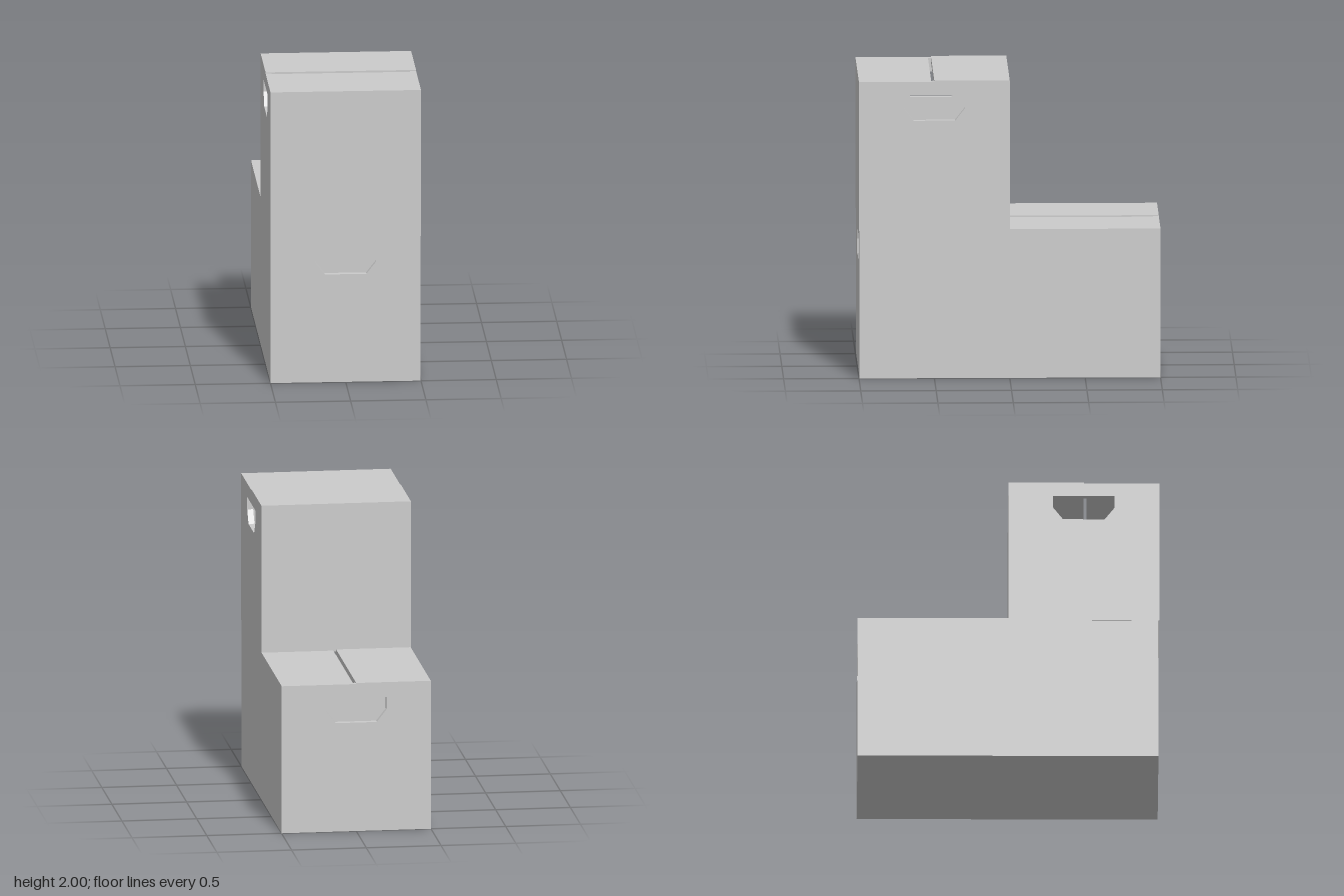
import * as THREE from 'three';

const WALL = 0.04, HEIGHT = 1, STEP = 0.007, SLIT = 0.02, FLAP = 0.03;
const material = new THREE.MeshStandardMaterial({ color: 0xcccccc, flatShading: true });

function addMesh(group, name, geometry, x, y, z) {
  const mesh = new THREE.Mesh(geometry, material);
  mesh.name = name;
  mesh.position.set(x, y, z);
  group.add(mesh);
}

// Box given by its minimum and maximum corners
function addBlock(group, name, [x0, y0, z0], [x1, y1, z1]) {
  addMesh(group, name, new THREE.BoxGeometry(x1 - x0, y1 - y0, z1 - z0),
    (x0 + x1) / 2, (y0 + y1) / 2, (z0 + z1) / 2);
}

// End wall with a hand hole that has cut lower corners
function endWallGeometry(width) {
  const w = width / 2;
  const shape = new THREE.Shape([[-w, 0], [w, 0], [w, HEIGHT], [-w, HEIGHT]]
    .map(p => new THREE.Vector2(...p)));
  shape.holes.push(new THREE.Path(
    [[-0.203, 0.907], [-0.203, 0.822], [-0.138, 0.738], [0.138, 0.738], [0.203, 0.822], [0.203, 0.907]]
      .map(p => new THREE.Vector2(...p))));
  return new THREE.ExtrudeGeometry(shape, { depth: WALL, bevelEnabled: false });
}

// Hollow carton: hand holes in the z ends, two lid flaps meeting near x = 0
function createCarton(name, width, length, hasFloor) {
  const carton = new THREE.Group();
  carton.name = name;
  const w = width / 2, l = length / 2, inner = l - WALL;

  const wall = endWallGeometry(width);
  addMesh(carton, 'frontEndWall', wall, 0, 0, inner);
  addMesh(carton, 'backEndWall', wall, 0, 0, -l);
  addBlock(carton, 'leftSideWall', [w - WALL, 0, -inner], [w, HEIGHT, inner]);
  addBlock(carton, 'rightSideWall', [-w, 0, -inner], [WALL - w, HEIGHT, inner]);

  // The left flap is flush with the walls, the right one lies slightly higher
  addBlock(carton, 'flushFlap', [SLIT, HEIGHT - FLAP, -inner], [w - WALL, HEIGHT, inner]);
  addBlock(carton, 'raisedFlap', [WALL - w, HEIGHT - FLAP, -inner], [0, HEIGHT, inner]);
  addBlock(carton, 'raisedFlapTop', [-w, HEIGHT, -l], [0, HEIGHT + STEP, l]);
  if (hasFloor) addBlock(carton, 'floor', [WALL - w, 0, -inner], [w - WALL, WALL, inner]);
  return carton;
}

export function createModel() {
  const model = new THREE.Group();
  model.name = 'stackedCartons';

  const lower = createCarton('lowerCarton', 0.997, 1.995, true);
  lower.position.z = -0.0025;
  model.add(lower);

  // The upper carton is turned a quarter and stands on the front half
  const upper = createCarton('upperCarton', 1, 1, false);
  upper.rotation.y = -Math.PI / 2;
  upper.position.set(0, 2 - HEIGHT - STEP, 0.5);
  model.add(upper);

  return model;
}
